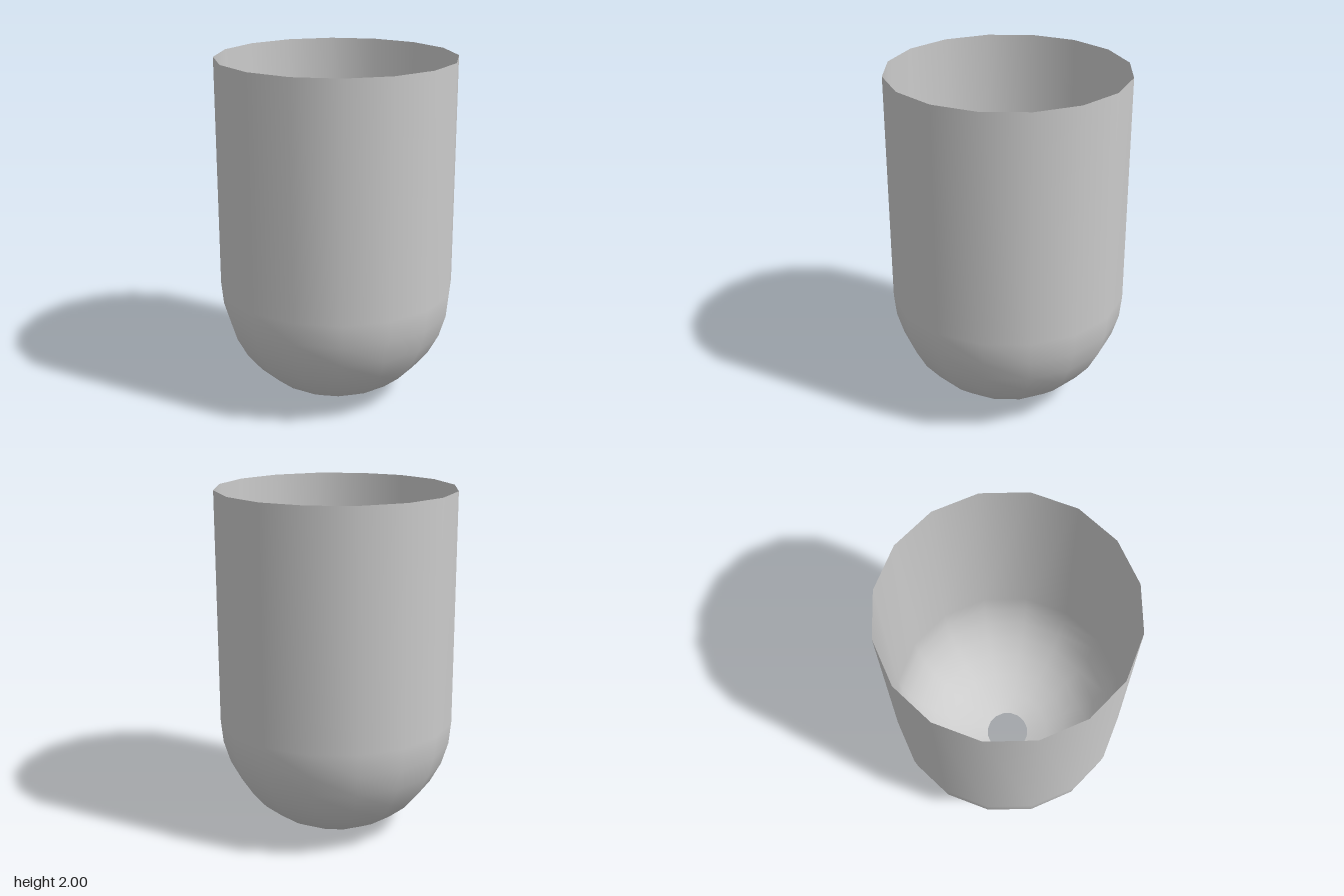
import * as THREE from 'three';

const RADIUS = 0.682;
const SIDES = 16;
const STEP = Math.PI / 16; // angle between rings of the rounded bottom

export function createModel() {
  const group = new THREE.Group();
  group.name = 'roundBottomedCup';

  // Profile: from the rim of the drain hole, up the hemisphere, then the straight wall
  const centreY = RADIUS * Math.cos(STEP);
  const profile = [];
  for (let i = 1; i <= 8; i++) {
    const a = i * STEP;
    profile.push(new THREE.Vector2(RADIUS * Math.sin(a), centreY - RADIUS * Math.cos(a)));
  }
  profile.push(new THREE.Vector2(RADIUS, 2));

  // Thin open shell, visible inside and out
  const shell = new THREE.Mesh(
    new THREE.LatheGeometry(profile, SIDES),
    new THREE.MeshStandardMaterial({ color: 0xcccccc, side: THREE.DoubleSide })
  );
  shell.name = 'shell';
  group.add(shell);

  return group;
}
